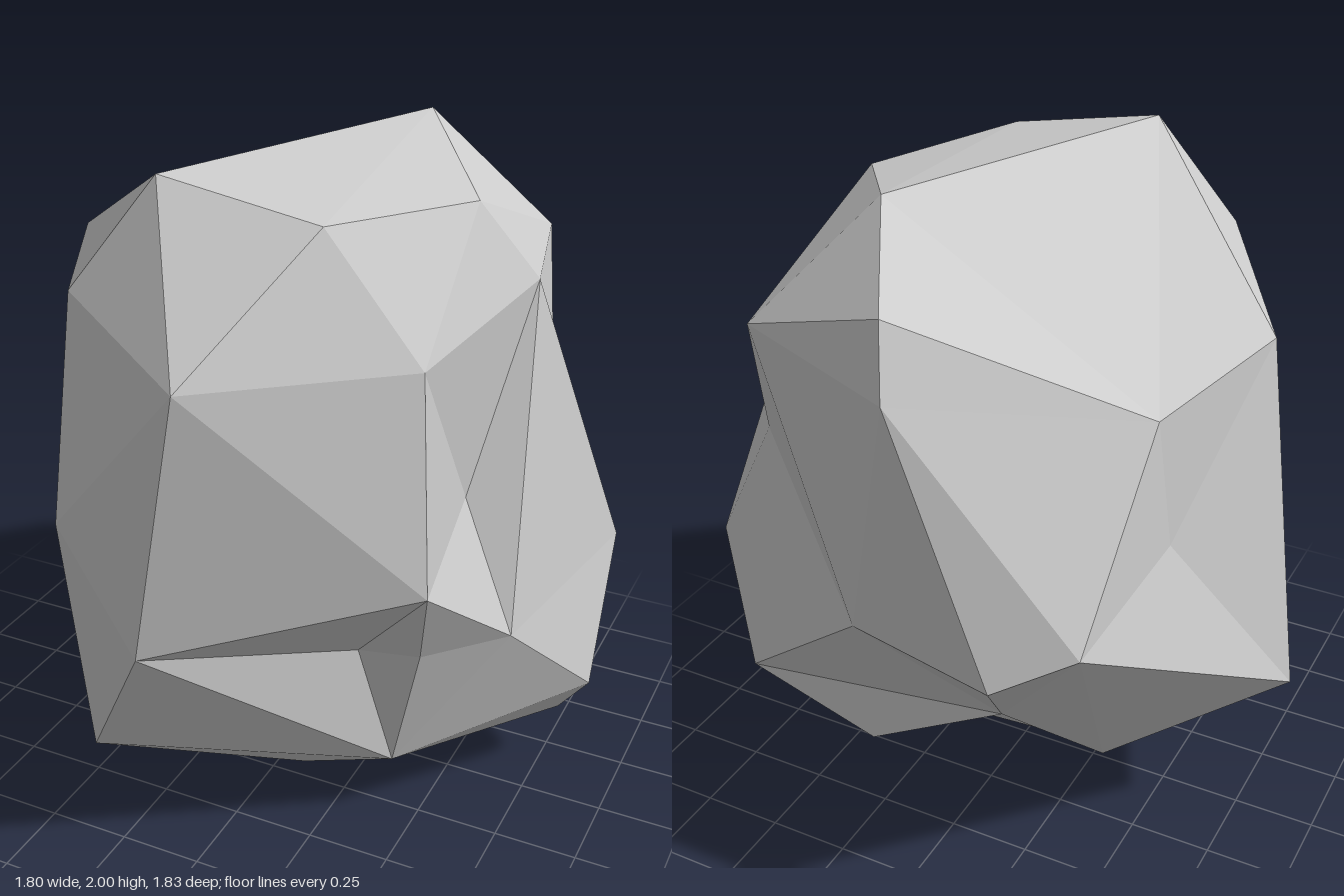
import * as THREE from 'three';

// Corners of the boulder, grouped by zone
const crown = {
  A: [-0.17, 2.0, 0.53], B: [0.21, 2.0, -0.41], C: [0.29, 1.92, 0.51], D: [0.53, 1.89, 0.05],
  E: [-0.4, 1.68, 0.62], F: [-0.75, 1.63, -0.01], G: [0.07, 1.58, 0.9], H: [0.55, 1.56, 0.46],
  I: [0.66, 1.64, -0.11], J: [0.54, 1.64, -0.59], K: [-0.02, 1.86, -0.81], L: [-0.06, 1.67, -0.885],
  O: [-0.6, 1.55, -0.445],
};
const waist = {
  M: [-0.355, 0.93, -0.915], N: [-0.56, 1.03, -0.805], P: [-0.385, 1.06, 0.78], Q: [-0.9, 0.57, -0.06],
  S: [0.63, 1.22, -0.42], T: [0.09, 0.955, -0.845], U: [0.56, 1.05, 0.13], V: [0.6, 0.93, 0.51],
  W: [0.73, 0.65, 0.16], X: [0.885, 0.765, -0.36], f: [-0.065, 0.79, 0.915], g: [0.35, 0.63, 0.39],
  h: [0.54, 0.66, 0.39], j: [-0.515, 1.105, 0.37], m: [-0.63, 1.165, -0.4],
};
const foot = {
  R: [0.615, 0.495, -0.62], Y: [0.9, 0.355, -0.13], Z: [0.795, 0.2, -0.185], a: [0.43, 0.21, 0.305],
  b: [0.08, 0, 0.185], c: [0.415, 0.065, -0.075], d: [-0.3, 0.085, -0.04], e: [-0.295, 0.365, 0.795],
  i: [-0.4, 0.265, -0.27], k: [0.17, 0.405, -0.66], n: [-0.2, 0.52, -0.48], o: [-0.26, 0.65, -0.66],
  q: [-0.67, 0.455, 0.2],
};

// Facets fan out from hub corners; each rim runs counter-clockwise seen from outside
const closedFans = {
  B: 'ACDJKO', G: 'CAEPfVH', j: 'EFQP', m: 'FONQ', I: 'DHUWXSJ',
  T: 'LJSRoM', h: 'VgaW', d: 'ncbeqi', Z: 'YacR', k: 'Rcno',
};
const openFans = {
  C: 'HD', F: 'EAO', U: 'HVW', L: 'MNOKJ', N: 'MoiQ', f: 'PeagV',
  X: 'WYRS', Y: 'Wa', b: 'cae', q: 'ePQi', o: 'ni',
};

function rockGeometry() {
  const corners = { ...crown, ...waist, ...foot };
  const positions = [];
  const addFan = (hub, rim) => {
    for (let s = 0; s < rim.length - 1; s++) {
      positions.push(...corners[hub], ...corners[rim[s]], ...corners[rim[s + 1]]);
    }
  };
  for (const [hub, rim] of Object.entries(closedFans)) addFan(hub, rim + rim[0]);
  for (const [hub, rim] of Object.entries(openFans)) addFan(hub, rim);

  const geometry = new THREE.BufferGeometry();
  geometry.setAttribute('position', new THREE.Float32BufferAttribute(positions, 3));
  geometry.computeVertexNormals();
  return geometry;
}

export function createModel() {
  const group = new THREE.Group();
  group.name = 'rock';
  const material = new THREE.MeshStandardMaterial({ color: 0xcccccc, flatShading: true });
  const boulder = new THREE.Mesh(rockGeometry(), material);
  boulder.name = 'boulder';
  group.add(boulder);
  return group;
}
